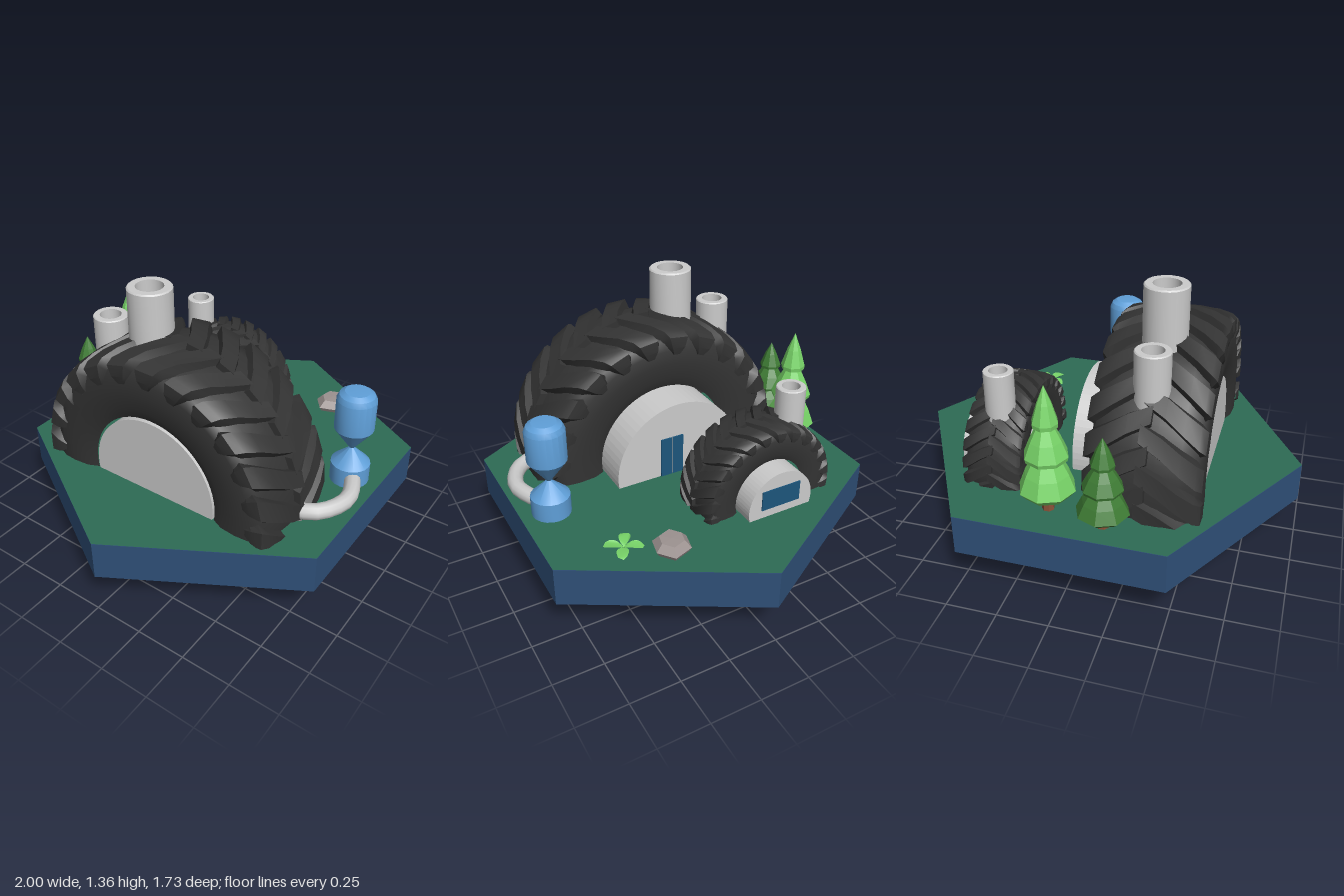
import * as THREE from 'three';
import { mergeVertices, toCreasedNormals } from 'three/addons/utils/BufferGeometryUtils.js';

const GROUND = 0.4;
const V2 = (p) => p.map(([x, y]) => new THREE.Vector2(x, y));
const mat = (color, opts = {}) => new THREE.MeshStandardMaterial({ color, ...opts });
const GREY = mat(0xcccccc, { side: THREE.DoubleSide });
const RUBBER = mat(0x333333, { side: THREE.DoubleSide });
const GLASS = mat(0x1d567c);

function add(parent, name, geometry, material, x = 0, y = 0, z = 0) {
  const mesh = new THREE.Mesh(geometry, material);
  mesh.name = name;
  mesh.position.set(x, y, z);
  parent.add(mesh);
  return mesh;
}

const lathe = (points, sides) => toCreasedNormals(new THREE.LatheGeometry(V2(points), sides), 0.5);

// turns a lathe around y into a wheel around x, angle 0 at the top, growing to +z
const toWheel = new THREE.Matrix4().makeBasis(
  new THREE.Vector3(0, 0, 1), new THREE.Vector3(1, 0, 0), new THREE.Vector3(0, 1, 0));

// one curved tread bar from the crown over the shoulder and down the sidewall
function lugGeometry(angle, side, R, W) {
  // across (of half width), outer radius, inner radius, angle lag, half thickness (rad)
  const path = [
    [-0.08, 1.0, 0.93, -0.02, 0.06], [0.3, 0.998, 0.93, 0.06, 0.066],
    [0.62, 0.99, 0.92, 0.15, 0.072], [0.88, 0.965, 0.9, 0.22, 0.08],
    [0.985, 0.93, 0.86, 0.245, 0.08], [1.0, 0.85, 0.8, 0.25, 0.06],
    [0.96, 0.79, 0.78, 0.25, 0.03],
  ];
  const pos = [], idx = [];
  const put = (u, r, t) => pos.push(side * u * W, r * R * Math.cos(t), r * R * Math.sin(t));
  path.forEach(([u, ro, ri, lag, h], i) => {
    const t = angle - lag, inner = Math.min(u, 0.86);
    put(inner, ri, t - h * 1.35);
    put(u, ro, t - h);
    put(u, ro, t + h);
    put(inner, ri, t + h * 1.35);
    if (i === 0) return;
    for (let k = 0; k < 3; k++) {
      const a = (i - 1) * 4 + k, b = i * 4 + k;
      if (side > 0) idx.push(a, a + 1, b, b, a + 1, b + 1);
      else idx.push(a, b, a + 1, b, b + 1, a + 1);
    }
  });
  idx.push(0, 2, 1, 0, 3, 2);
  const g = new THREE.BufferGeometry();
  g.setAttribute('position', new THREE.Float32BufferAttribute(pos, 3));
  g.setIndex(idx);
  return toCreasedNormals(g, 0.7);
}

// half-buried tyre with two staggered rows of tread bars
function tyre(name, R, W, cy, lugs) {
  const group = new THREE.Group();
  group.name = name;
  const half = [[0.52, 0.84], [0.6, 0.93], [0.72, 0.96], [0.82, 0.94], [0.89, 0.86], [0.93, 0.6], [0.95, 0.2]];
  const profile = [...half.map(([r, w]) => [r * R, -w * W]), ...half.slice().reverse().map(([r, w]) => [r * R, w * W])];
  const end = Math.acos((GROUND - cy - 0.06) / R);
  const body = new THREE.LatheGeometry(V2(profile), 40, -end, end * 2).applyMatrix4(toWheel);
  add(group, 'tyreBody', body, RUBBER);
  const step = (Math.PI * 2) / lugs;
  for (const side of [-1, 1]) {
    for (let i = -lugs; i <= lugs; i++) {
      const a = (i + (side > 0 ? 0.5 : 0)) * step;
      if (a < -end + 0.1 || a > end + 0.2) continue;
      add(group, 'treadBar', lugGeometry(a, side, R, W), RUBBER);
    }
  }
  return group;
}

// arched wheel hub, a round disc cut off at the ground, from x0 to x1
function hubGeometry(r, cy, x0, x1) {
  const drop = Math.asin((cy - GROUND) / r);
  const shape = new THREE.Shape();
  shape.absarc(0, cy, r, -drop, Math.PI + drop, false);
  shape.closePath();
  return new THREE.ExtrudeGeometry(shape, { depth: x1 - x0, bevelEnabled: false, curveSegments: 18 })
    .rotateY(Math.PI / 2).translate(x0, 0, 0);
}

// thick-walled chimney with a recessed floor
function chimney(parent, x, z, r, y0, y1) {
  const ri = r * 0.62, b = r * 0.06;
  add(parent, 'chimney', lathe([
    [r, y0], [r, y1 - b], [r - b, y1], [ri, y1], [ri, y1 - 0.18], [0, y1 - 0.18],
  ], 20), GREY, x, 0, z);
}

function tree(parent, name, x, z, color, sr, sy) {
  const group = new THREE.Group();
  group.name = name;
  add(group, 'trunk', new THREE.CylinderGeometry(0.022, 0.03, 0.16, 7), mat(0x8a5238, { flatShading: true }), 0, 0.08, 0);
  const crown = [
    [0, 0.13], [0.11, 0.09], [0.135, 0.12], [0.105, 0.2], [0.055, 0.3], [0.1, 0.275], [0.105, 0.295],
    [0.075, 0.37], [0.035, 0.45], [0.06, 0.44], [0.062, 0.46], [0.035, 0.55], [0, 0.64],
  ];
  const g = new THREE.LatheGeometry(V2(crown.map(([r, y]) => [r * sr, y * sy])), 8);
  add(group, 'foliage', g, mat(color, { flatShading: true, side: THREE.DoubleSide }));
  group.position.set(x, GROUND, z);
  parent.add(group);
}

export function createModel() {
  const root = new THREE.Group();
  root.name = 'wheelHouses';

  // hexagonal base
  add(root, 'base', new THREE.CylinderGeometry(1, 1, 0.2, 6, 1, false, Math.PI / 6), mat(0x2f5078, { flatShading: true }), 0, 0.3, 0);
  add(root, 'grass', new THREE.CircleGeometry(1, 6).rotateX(-Math.PI / 2), mat(0x2d6b55), 0, GROUND + 0.002, 0);

  // large wheel house
  const big = tyre('largeTyre', 0.69, 0.278, 0.455, 24);
  big.position.set(-0.322, 0.455, 0);
  root.add(big);
  add(root, 'largeHub', hubGeometry(0.35, 0.45, -0.56, 0.09), GREY);
  add(root, 'door', new THREE.BoxGeometry(0.012, 0.22, 0.06), GLASS, 0.09, 0.51, 0.078);
  add(root, 'door', new THREE.BoxGeometry(0.012, 0.22, 0.06), GLASS, 0.09, 0.51, 0.012);
  for (const x of [0.08, -0.16]) {
    add(root, 'hubDisc', new THREE.CircleGeometry(0.35, 48).rotateY(Math.PI / 2), GREY, x, 0.35, 0);
  }
  chimney(root, -0.317, -0.168, 0.108, 0.95, 1.355);
  chimney(root, -0.317, -0.423, 0.085, 0.75, 1.14);

  // small wheel house
  const small = tyre('smallTyre', 0.368, 0.148, 0.455, 24);
  small.position.set(0.418, 0.455, -0.246);
  root.add(small);
  add(root, 'smallHub', hubGeometry(0.18, 0.45, 0.29, 0.635), GREY, 0, 0, -0.25);
  add(root, 'window', new THREE.BoxGeometry(0.012, 0.105, 0.215), GLASS, 0.634, 0.5, -0.248);
  chimney(root, 0.417, -0.428, 0.073, 0.62, 0.945);

  // hourglass tank and its feed pipe
  add(root, 'tank', lathe([
    [0.097, 0.4], [0.097, 0.5], [0.012, 0.583], [0.097, 0.7], [0.097, 0.86],
    [0.085, 0.885], [0.06, 0.902], [0, 0.907],
  ], 20), mat(0x5f9fd8), 0.095, 0, 0.712);
  const path = new THREE.CatmullRomCurve3([
    [-0.32, 0.64], [-0.3, 0.71], [-0.23, 0.775], [-0.12, 0.81], [-0.02, 0.785], [0.1, 0.72],
  ].map(([x, z]) => new THREE.Vector3(x, 0.448, z)));
  add(root, 'pipe', new THREE.TubeGeometry(path, 10, 0.04, 12), GREY);

  // trees
  tree(root, 'lightTree', 0.098, -0.68, 0x78d468, 1, 1);
  tree(root, 'darkTree', -0.18, -0.74, 0x3f7d35, 0.92, 0.72);

  // rock: a squat stack of uneven rings
  const rock = mergeVertices(new THREE.LatheGeometry(V2([[0.085, 0], [0.1, 0.025], [0.065, 0.06], [0, 0.062]]), 6).deleteAttribute('uv').deleteAttribute('normal'));
  const p = rock.attributes.position;
  for (let i = 0; i < p.count; i++) {
    const a = Math.atan2(p.getZ(i), p.getX(i)), k = 1 + 0.1 * Math.sin(a * 2 + 1);
    p.setXYZ(i, p.getX(i) * k * 0.92, p.getY(i), p.getZ(i) * k);
  }
  add(root, 'rock', rock, mat(0x9c9290, { flatShading: true, side: THREE.DoubleSide }), 0.622, GROUND, 0.338).rotation.y = 0.25;

  // four-leaved plant
  const leafShape = new THREE.Shape();
  leafShape.moveTo(0, 0);
  leafShape.bezierCurveTo(0.02, 0.02, 0.045, 0.05, 0.025, 0.085);
  leafShape.lineTo(0, 0.095);
  leafShape.bezierCurveTo(-0.035, 0.075, -0.03, 0.03, 0, 0);
  const leaf = new THREE.ShapeGeometry(leafShape, 5).rotateX(-Math.PI / 2);
  const lp = leaf.attributes.position;
  for (let i = 0; i < lp.count; i++) lp.setY(i, 0.006 + 0.02 * Math.sin(-lp.getZ(i) * 30));
  leaf.computeVertexNormals();
  for (let i = 0; i < 4; i++) {
    add(root, 'leaf', leaf, mat(0x78d468, { side: THREE.DoubleSide }), 0.515, GROUND, 0.528).rotation.y = i * Math.PI / 2 - 0.45;
  }
  return root;
}
